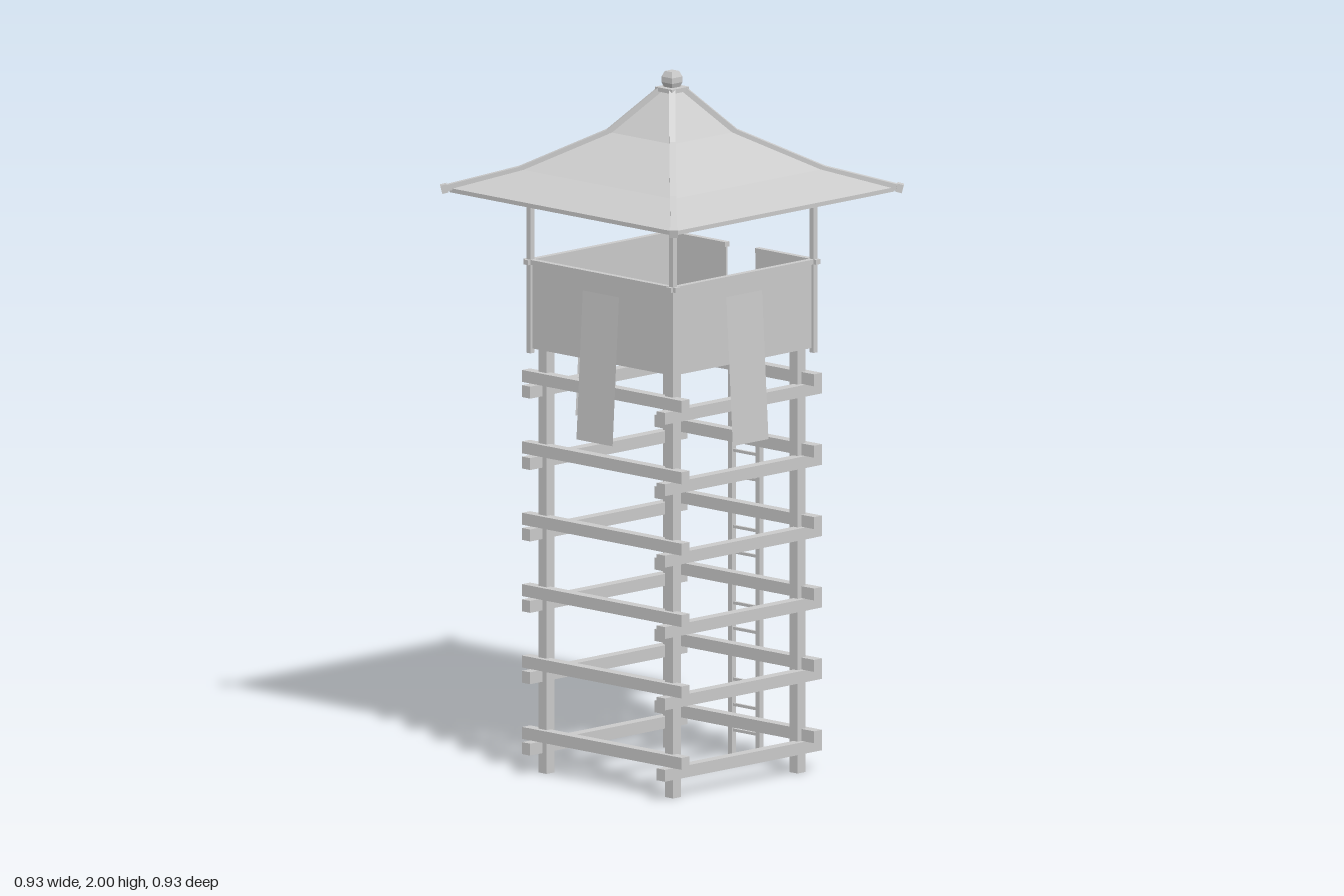
import * as THREE from 'three';

const mat = new THREE.MeshStandardMaterial({ color: 0xcccccc, flatShading: true, side: THREE.DoubleSide });

export function createModel() {
  const model = new THREE.Group();

  const group = (name) => {
    const g = new THREE.Group();
    g.name = name;
    model.add(g);
    return g;
  };
  const add = (parent, name, geometry) => {
    const mesh = new THREE.Mesh(geometry, mat);
    mesh.name = name;
    parent.add(mesh);
    return mesh;
  };
  const box = (parent, name, w, h, d, x, y, z) => {
    const mesh = add(parent, name, new THREE.BoxGeometry(w, h, d));
    mesh.position.set(x, y, z);
    return mesh;
  };
  // Square bar between two points
  const bar = (parent, name, a, b, size) => {
    const mesh = add(parent, name, new THREE.BoxGeometry(size, size, a.distanceTo(b)));
    mesh.position.copy(a).add(b).multiplyScalar(0.5);
    mesh.lookAt(b);
    return mesh;
  };
  // Four-sided solid from a profile of [half width, y]
  const squareLathe = (parent, name, profile) => {
    const points = profile.map(([r, y]) => new THREE.Vector2(r * Math.SQRT2, y));
    const geometry = new THREE.LatheGeometry(points, 4, Math.PI / 4).toNonIndexed();
    geometry.computeVertexNormals();
    return add(parent, name, geometry);
  };
  const sides = [-1, 1];

  // Scaffold: corner posts and six tiers of crossed beams
  const scaffold = group('scaffold');
  for (const sx of sides) for (const sz of sides)
    box(scaffold, 'cornerPost', 0.032, 1.21, 0.032, sx * 0.248, 0.605, sz * 0.248);
  for (let i = 0; i < 6; i++) {
    for (const s of sides) {
      box(scaffold, 'crossBeam', 0.626, 0.034, 0.032, 0, 0.108 + i * 0.2036, s * 0.264);
      box(scaffold, 'sideBeam', 0.032, 0.034, 0.626, s * 0.264, 0.074 + i * 0.2036, 0);
    }
  }

  // Ladder on the back
  const ladder = group('ladder');
  for (const s of sides) box(ladder, 'ladderRail', 0.016, 1.305, 0.016, s * 0.054, 0.6525, -0.294);
  for (let i = 1; i < 18; i++) box(ladder, 'rung', 0.1, 0.008, 0.008, 0, i * 0.0725, -0.294);

  // Lookout cabin: floor, walls with a gap for the ladder, handrails and roof posts
  const cabin = group('cabin');
  box(cabin, 'floor', 0.556, 0.01, 0.556, 0, 1.215, 0);
  const wallY = 1.33, wallH = 0.24, railY = 1.457, gap = 0.058;
  box(cabin, 'frontWall', 0.56, wallH, 0.006, 0, wallY, 0.277);
  box(cabin, 'frontRail', 0.596, 0.014, 0.018, 0, railY, 0.28);
  for (const s of sides) {
    box(cabin, 'sideWall', 0.006, wallH, 0.56, s * 0.277, wallY, 0);
    box(cabin, 'sideRail', 0.018, 0.014, 0.586, s * 0.28, railY, 0.005);
    box(cabin, 'backWall', 0.28 - gap, wallH, 0.006, s * (0.28 + gap) / 2, wallY, -0.277);
    box(cabin, 'backRail', 0.298 - gap, 0.014, 0.018, s * (0.298 + gap) / 2, railY, -0.28);
    for (const sz of sides) box(cabin, 'roofPost', 0.016, 0.465, 0.016, s * 0.28, 1.4295, sz * 0.28);
  }

  // Cloth banners on three sides, leaning out towards the bottom
  const banners = group('banners');
  for (const angle of [0, Math.PI / 2, -Math.PI / 2]) {
    const cloth = new THREE.PlaneGeometry(0.142, 0.422);
    cloth.rotateX(-0.06).translate(0, 1.194, 0.296).rotateY(angle);
    add(banners, 'banner', cloth);
  }

  // Roof: flared pyramid with a flat underside
  const roof = group('roof');
  const slope = [[0.44, 1.667], [0.3, 1.72], [0.125, 1.826], [0.024, 1.946]];
  squareLathe(roof, 'roofShell', [[0, 1.655], [0.44, 1.655], ...slope, [0, 1.946]]);

  // Hip ridges following the slope, with end blocks
  for (const sx of sides) for (const sz of sides) {
    const path = [[0.45, 1.666], ...slope.slice(1)].map(([r, y]) => new THREE.Vector3(sx * r, y, sz * r));
    for (let i = 0; i < path.length - 1; i++) bar(roof, 'hipRidge', path[i], path[i + 1], 0.018);
    const dir = path[0].clone().sub(path[1]).normalize().multiplyScalar(0.009);
    bar(roof, 'hipEnd', path[0].clone().sub(dir), path[0].clone().add(dir), 0.024);
  }

  // Cap plate and finial
  box(roof, 'capPlate', 0.068, 0.012, 0.068, 0, 1.949, 0);
  squareLathe(roof, 'finial', [[0, 1.955], [0.016, 1.955], [0.021, 1.968], [0.021, 1.984], [0.014, 2], [0, 2]]);

  return model;
}
